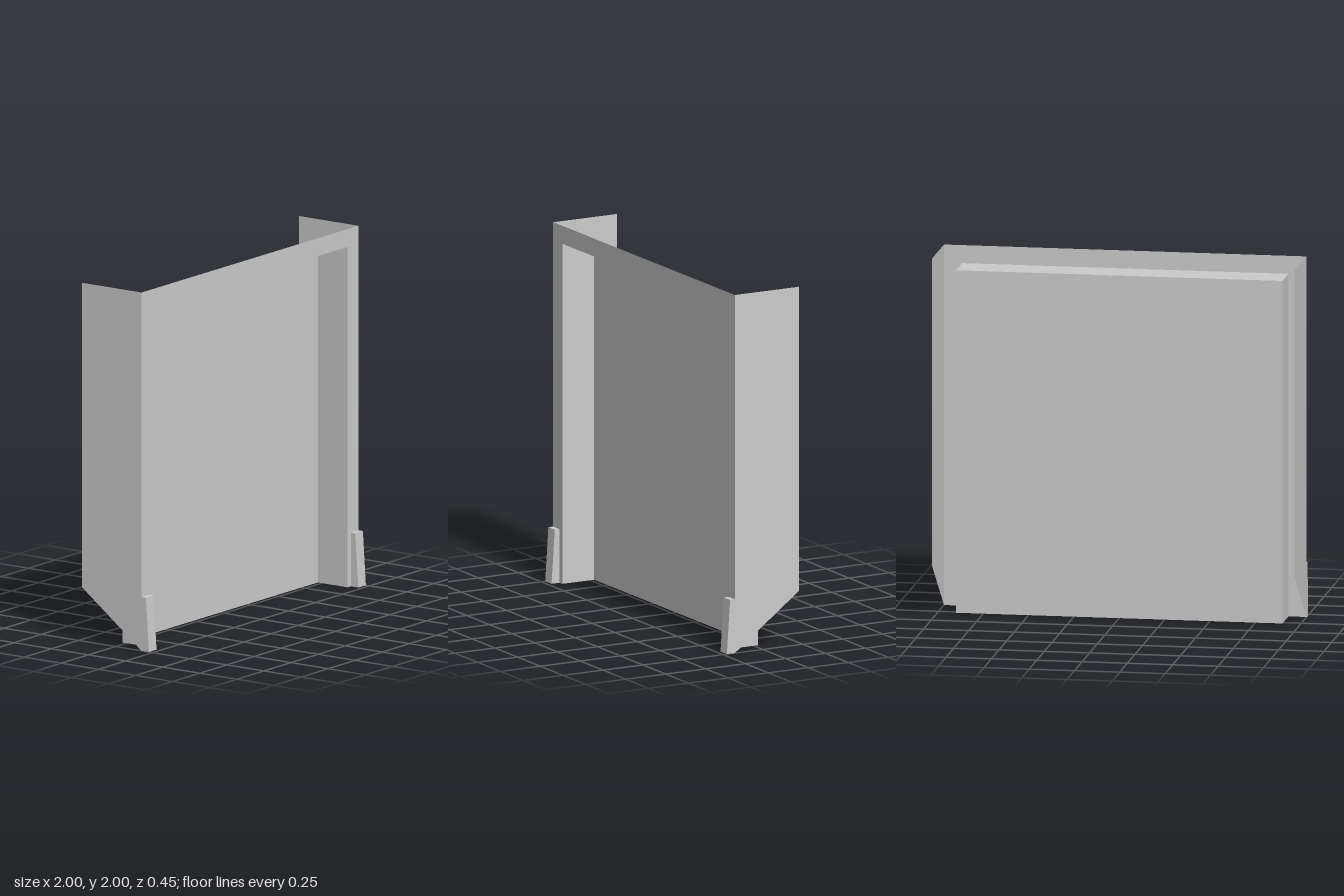
import * as THREE from 'three';

const FRONT = 0.175, RECESS = -0.025, BACK = -0.225; // z of frame, recess wall, side panel rear
const W = 1, H = 2, IW = 0.9, IH = 1.9;

const material = new THREE.MeshStandardMaterial({
  color: 0xcccccc, side: THREE.DoubleSide, flatShading: true,
});

function polygon(points) {
  return new THREE.Shape(points.map(([x, y]) => new THREE.Vector2(x, y)));
}

export function createModel() {
  const group = new THREE.Group();
  const add = (name, geometry, x = 0, y = 0, z = 0) => {
    const mesh = new THREE.Mesh(geometry, material);
    mesh.name = name;
    mesh.position.set(x, y, z);
    group.add(mesh);
    return mesh;
  };

  // Thin front frame, open at the bottom
  add('frontFrame', new THREE.ShapeGeometry(polygon([
    [-W, 0], [-IW, 0], [-IW, IH], [IW, IH], [IW, 0], [W, 0], [W, H], [-W, H],
  ])), 0, 0, FRONT);

  // Recess: rear wall and ceiling, without a floor
  const depth = FRONT - RECESS;
  add('recessBack', new THREE.PlaneGeometry(2 * IW, IH), 0, IH / 2, RECESS);
  add('recessTop', new THREE.PlaneGeometry(2 * IW, depth).rotateX(-Math.PI / 2),
    0, IH, (FRONT + RECESS) / 2);

  // Side profiles are drawn in (z, y) and turned to face along x
  const sideProfile = polygon([[FRONT, 0], [FRONT, H], [BACK, H], [BACK, 0.3]]);
  const footProfile = polygon([[FRONT, 0], [0.225, 0], [0.205, 0.3], [FRONT, 0.3]]);
  const footWidth = 0.07;

  for (const [side, s] of [['left', 1], ['right', -1]]) {
    add(side + 'RecessWall', new THREE.PlaneGeometry(depth, IH).rotateY(Math.PI / 2),
      s * IW, IH / 2, (FRONT + RECESS) / 2);

    // Outer panel with a slanted lower edge
    add(side + 'SidePanel', new THREE.ShapeGeometry(sideProfile).rotateY(-Math.PI / 2), s * W);

    // Tapered foot block at the lower front corner
    const foot = new THREE.ExtrudeGeometry(footProfile, { depth: footWidth, bevelEnabled: false });
    foot.translate(0, 0, -footWidth / 2).rotateY(-Math.PI / 2);
    add(side + 'Foot', foot, s * (W - footWidth / 2));
  }
  return group;
}
